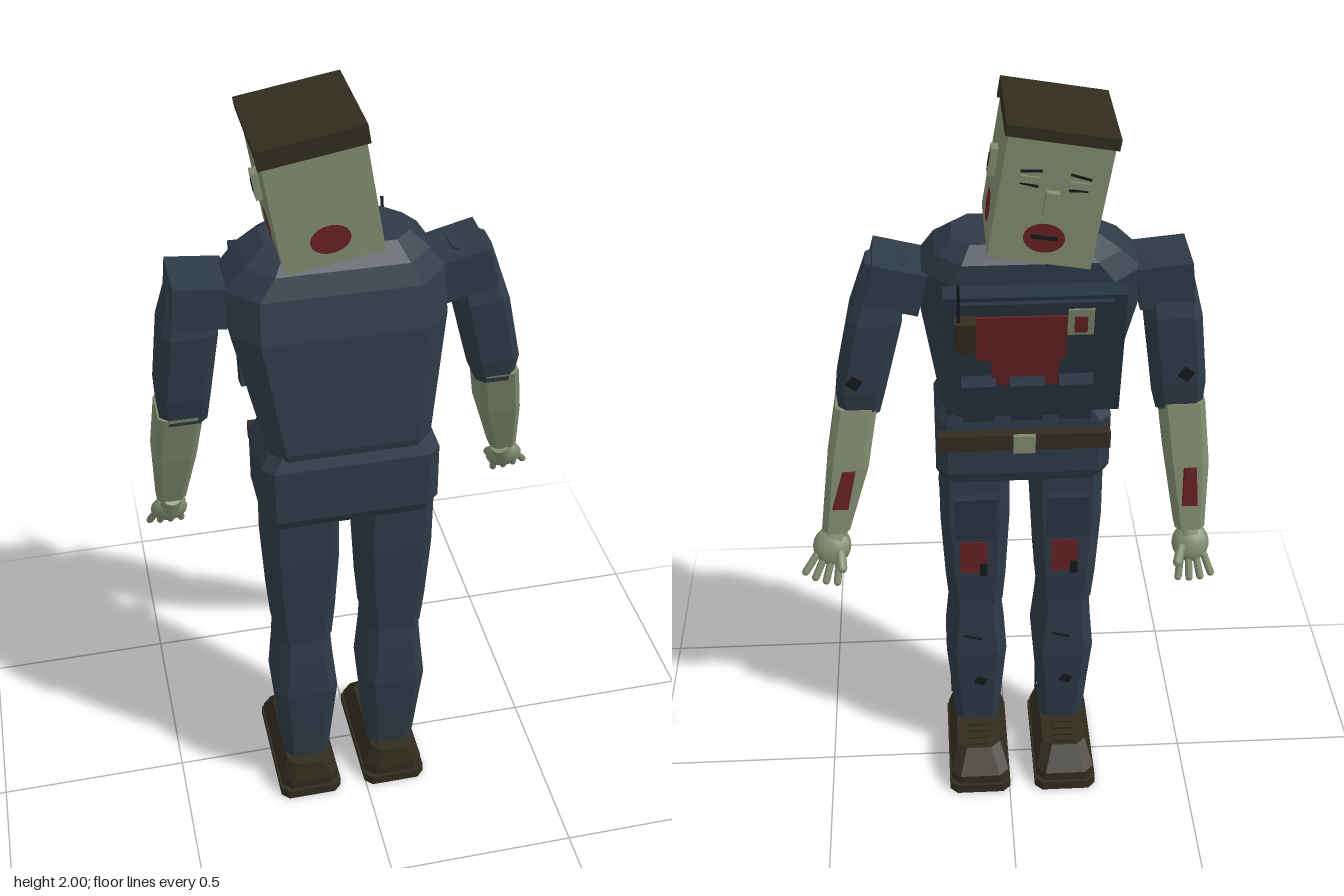
import * as THREE from 'three';

const mat = (name, color) => {
  const m = new THREE.MeshStandardMaterial({ color });
  m.name = name;
  return m;
};

export function createModel() {
  const root = new THREE.Group();
  root.name = 'uniformedFigure';
  const cloth = mat('navy cloth', 0x2e3a47);
  const vestCloth = mat('vest cloth', 0x273340);
  const skin = mat('pale green skin', 0x808b6d);
  const leather = mat('dark brown', 0x312c1e);
  const blood = mat('dried red', 0x662024);
  const dark = mat('dark crease', 0x15191d);

  const add = (name, geo, material, parent = root) => {
    const m = new THREE.Mesh(geo, material);
    m.name = name;
    parent.add(m);
    return m;
  };
  const box = (name, material, [w, h, d], [x, y, z], rot = [0, 0, 0], parent = root) => {
    const m = add(name, new THREE.BoxGeometry(w, h, d), material, parent);
    m.position.set(x, y, z);
    m.rotation.set(...rot);
    return m;
  };
  // Chamfered-rectangle loft; sections run bottom to top: [y, x0, x1, z0, z1, chamfer]
  const loft = (name, material, sections, parent = root) => {
    const pos = [];
    const n = 8;
    const rings = sections.map(([y, x0, x1, z0, z1, c]) => [
      [x1, z0 + c], [x1, z1 - c], [x1 - c, z1], [x0 + c, z1],
      [x0, z1 - c], [x0, z0 + c], [x0 + c, z0], [x1 - c, z0],
    ].map(([x, z]) => [x, y, z]));
    const tri = (...p) => p.forEach((q) => pos.push(...q));
    const last = rings[rings.length - 1];
    for (let i = 0; i < n; i++) {
      const j = (i + 1) % n;
      for (let k = 0; k < rings.length - 1; k++) {
        const a = rings[k], b = rings[k + 1];
        tri(a[i], b[i], a[j]);
        tri(a[j], b[i], b[j]);
      }
      if (i > 0 && i < n - 1) {
        tri(rings[0][0], rings[0][i], rings[0][j]);
        tri(last[0], last[j], last[i]);
      }
    }
    const g = new THREE.BufferGeometry();
    g.setAttribute('position', new THREE.Float32BufferAttribute(pos, 3));
    g.computeVertexNormals();
    return add(name, g, material, parent);
  };

  // Torso leaning towards -z, and hips
  loft('chest', cloth, [
    [1.19, -0.225, 0.15, -0.04, 0.195, 0.03],
    [1.21, -0.24, 0.16, -0.05, 0.2, 0.04],
    [1.5, -0.305, 0.205, -0.105, 0.165, 0.06],
    [1.6, -0.31, 0.205, -0.125, 0.14, 0.07],
    [1.65, -0.26, 0.17, -0.125, 0.12, 0.06],
    [1.685, -0.21, 0.13, -0.09, 0.07, 0.04],
  ]);
  loft('hips', cloth, [
    [0.98, -0.245, 0.165, -0.02, 0.185, 0.03],
    [1.01, -0.26, 0.18, -0.03, 0.2, 0.03],
    [1.16, -0.26, 0.18, -0.03, 0.2, 0.03],
    [1.2, -0.235, 0.16, -0.025, 0.185, 0.03],
  ]);
  box('belt', leather, [0.43, 0.045, 0.035], [-0.04, 1.12, -0.04]);
  box('buckle', skin, [0.055, 0.05, 0.012], [-0.04, 1.12, -0.062]);

  // Vest with pouches, radio, badge and stain; local -z is its outside
  const vest = new THREE.Group();
  vest.name = 'vest';
  vest.position.set(-0.055, 1.42, -0.113);
  vest.rotation.x = -0.2;
  root.add(vest);
  const n0 = [0, 0, 0];
  box('vestPlate', vestCloth, [0.42, 0.36, 0.045], n0, n0, vest);
  box('vestRim', vestCloth, [0.36, 0.03, 0.016], [0, 0.155, -0.026], n0, vest);
  box('vestStain', blood, [0.21, 0.13, 0.006], [0.03, 0.06, -0.025], n0, vest);
  box('vestStainLow', blood, [0.16, 0.09, 0.006], [0.02, -0.04, -0.025], n0, vest);
  for (const x of [0.13, 0.015, -0.1]) {
    box('pouch', vestCloth, [0.075, 0.11, 0.035], [x, -0.12, -0.04], n0, vest);
    box('pouchFlap', vestCloth, [0.082, 0.035, 0.042], [x, -0.075, -0.041], n0, vest);
  }
  box('badge', skin, [0.06, 0.075, 0.008], [-0.105, 0.115, -0.034], n0, vest);
  box('badgeStain', blood, [0.03, 0.045, 0.004], [-0.105, 0.11, -0.04], n0, vest);
  box('radio', leather, [0.05, 0.085, 0.035], [0.16, 0.09, -0.042], n0, vest);
  const antenna = add('antenna', new THREE.CylinderGeometry(0.004, 0.005, 0.12, 6), dark, vest);
  antenna.position.set(0.175, 0.18, -0.045);

  // Tilted block head
  const head = new THREE.Group();
  head.name = 'head';
  head.position.set(-0.088, 1.822, -0.02);
  head.rotation.z = 0.165;
  root.add(head);
  box('skull', skin, [0.235, 0.3, 0.27], [0, -0.005, 0], n0, head);
  box('hairTop', leather, [0.25, 0.026, 0.28], [0, 0.147, 0], n0, head);
  box('hairBack', leather, [0.25, 0.045, 0.02], [0, 0.137, 0.132], n0, head);
  // Round stain on each side of the head
  for (let i = 0; i < 4; i++) {
    const side = i % 2;
    const s = add('headStain', new THREE.CircleGeometry(0.047, 24), blood, head);
    s.scale.y = 0.75;
    s.rotation.y = (i * Math.PI) / 2;
    const d = side ? 0.1195 : 0.137;
    s.position.set(Math.sin(s.rotation.y) * d, -0.092, Math.cos(s.rotation.y) * d);
  }
  box('mouth', dark, [0.06, 0.009, 0.006], [0, -0.09, -0.138], n0, head);
  box('nose', skin, [0.03, 0.055, 0.022], [0, -0.005, -0.143], n0, head);
  for (const s of [-1, 1]) {
    box('eyeLine', dark, [0.042, 0.005, 0.006], [s * 0.055, 0.03, -0.136], [0, 0, s * 0.1], head);
    box('eyelid', skin, [0.046, 0.016, 0.01], [s * 0.055, 0.042, -0.136], n0, head);
    box('brow', dark, [0.048, 0.005, 0.006], [s * 0.055, 0.062, -0.136], [0, 0, -s * 0.15], head);
    box('ear', skin, [0.02, 0.065, 0.036], [s * 0.124, 0.015, 0.005], n0, head);
    box('earHollow', dark, [0.004, 0.03, 0.01], [s * 0.134, 0.015, 0.005], n0, head);
  }

  // Legs and boots
  for (const cx of [-0.157, 0.083]) {
    const leg = new THREE.Group();
    leg.name = cx > 0 ? 'leftLeg' : 'rightLeg';
    leg.position.x = cx;
    root.add(leg);
    loft('thigh', cloth, [
      [0.56, -0.072, 0.072, -0.005, 0.16, 0.025],
      [0.66, -0.08, 0.08, -0.012, 0.168, 0.025],
      [0.85, -0.09, 0.09, -0.015, 0.18, 0.025],
      [1.0, -0.09, 0.09, -0.01, 0.185, 0.025],
    ], leg);
    loft('shin', cloth, [
      [0.1, -0.06, 0.06, 0.02, 0.145, 0.02],
      [0.25, -0.072, 0.072, 0.01, 0.165, 0.025],
      [0.38, -0.083, 0.083, 0.0, 0.178, 0.025],
      [0.5, -0.072, 0.072, 0.0, 0.168, 0.025],
      [0.57, -0.068, 0.068, 0.0, 0.158, 0.025],
    ], leg);
    loft('bootUpper', leather, [
      [0.025, -0.08, 0.08, -0.152, 0.188, 0.025],
      [0.055, -0.08, 0.08, -0.152, 0.188, 0.025],
      [0.115, -0.06, 0.06, -0.1, 0.18, 0.025],
    ], leg);
    loft('bootSole', leather, [
      [0, -0.085, 0.085, -0.16, 0.197, 0.02],
      [0.028, -0.085, 0.085, -0.16, 0.197, 0.02],
    ], leg);
    for (let i = 0; i < 4; i++) box('lace', leather, [0.06, 0.008, 0.01], [0, 0.117, -0.085 + i * 0.026], n0, leg);
    box('pocket', vestCloth, [0.105, 0.12, 0.025], [0, 0.865, -0.022], n0, leg);
    box('pocketFlap', vestCloth, [0.112, 0.035, 0.03], [0, 0.915, -0.023], n0, leg);
    box('thighStain', blood, [0.07, 0.1, 0.006], [0.005, 0.73, -0.0145], n0, leg);
    box('thighTear', dark, [0.02, 0.04, 0.006], [-0.02, 0.69, -0.016], n0, leg);
    box('shinTear', dark, [0.05, 0.006, 0.006], [0.01, 0.44, -0.001], [0, 0, 0.3], leg);
    box('shinTearLow', dark, [0.03, 0.025, 0.006], [-0.01, 0.27, 0.008], [0, 0, 0.4], leg);
    box('trouserCrease', dark, [0.004, 0.34, 0.005], [0.071, 0.34, 0.08], n0, leg);
    box('thighCrease', dark, [0.004, 0.3, 0.005], [0.084, 0.79, 0.07], [0, 0, -0.04], leg);
  }

  // Arms: sleeve and forearm sections as [y, x0, x1]
  const arms = [
    { name: 'leftArm', s: 1, shoulder: [0.262, 1.567, -0.005], tilt: 0.25,
      sleeve: [[1.23, 0.312, 0.41], [1.3, 0.295, 0.415], [1.48, 0.25, 0.375], [1.62, 0.235, 0.33]],
      fore: [[0.925, 0.4, 0.47], [1.1, 0.345, 0.448], [1.25, 0.318, 0.42]],
      hand: [0.448, 0.872, -0.125], fan: 0.35 },
    { name: 'rightArm', s: -1, shoulder: [-0.366, 1.56, -0.005], tilt: -0.1,
      sleeve: [[1.22, -0.475, -0.36], [1.3, -0.477, -0.35], [1.48, -0.457, -0.325], [1.61, -0.425, -0.32]],
      fore: [[0.9, -0.493, -0.418], [1.08, -0.495, -0.39], [1.24, -0.48, -0.37]],
      hand: [-0.462, 0.845, -0.125], fan: -0.1 },
  ];
  for (const a of arms) {
    const arm = new THREE.Group();
    arm.name = a.name;
    root.add(arm);
    box('shoulder', cloth, [0.13, 0.105, 0.155], a.shoulder, [0, 0, a.tilt], arm);
    const sz = [[-0.085, 0.035], [-0.095, 0.05], [-0.092, 0.066], [-0.06, 0.04]];
    loft('sleeve', cloth, a.sleeve.map((r, i) => [...r, ...sz[i], 0.02]), arm);
    const fz = [[-0.148, -0.08], [-0.125, -0.01], [-0.09, 0.04]];
    loft('forearm', skin, a.fore.map((r, i) => [...r, ...fz[i], 0.015]), arm);
    // Thin wound following the slope of the forearm
    const mid = (i) => (a.fore[i][1] + a.fore[i][2]) / 2;
    const wound = [0.4, 0.98].map((t, i) => {
      const x = mid(0) + (mid(1) - mid(0)) * t;
      const y = a.fore[0][0] + (a.fore[1][0] - a.fore[0][0]) * t;
      const z = -0.148 + 0.023 * t;
      return [y, x - 0.02, x + 0.02 - i * 0.008, z - 0.005, z + 0.002, 0.002];
    });
    loft('wound', blood, wound, arm);
    box('sleeveTear', dark, [0.03, 0.03, 0.006], [mid(2), 1.33, -0.095], [0, 0, 0.6], arm);

    // Hand with four fingers and an inward thumb
    const hand = new THREE.Group();
    hand.name = 'hand';
    hand.position.set(...a.hand);
    hand.rotation.set(0.5, 0, a.fan);
    arm.add(hand);
    add('palm', new THREE.SphereGeometry(0.048, 14, 10), skin, hand).scale.set(1, 1.05, 0.6);
    add('wrist', new THREE.CylinderGeometry(0.026, 0.03, 0.05, 10), skin, hand).position.set(0, 0.045, 0);
    for (let i = 0; i < 4; i++) {
      const f = add('finger', new THREE.CapsuleGeometry(0.0095, 0.05, 3, 8), skin, hand);
      f.position.set((i - 1.5) * 0.024, -0.068 + Math.abs(i - 1.5) * 0.005, -0.005);
      f.rotation.z = (i - 1.5) * 0.16;
    }
    const thumb = add('thumb', new THREE.CapsuleGeometry(0.012, 0.04, 3, 8), skin, hand);
    thumb.position.set(-a.s * 0.035, -0.025, -0.028);
    thumb.rotation.set(0.4, 0, -a.s * 0.4);
  }
  return root;
}
